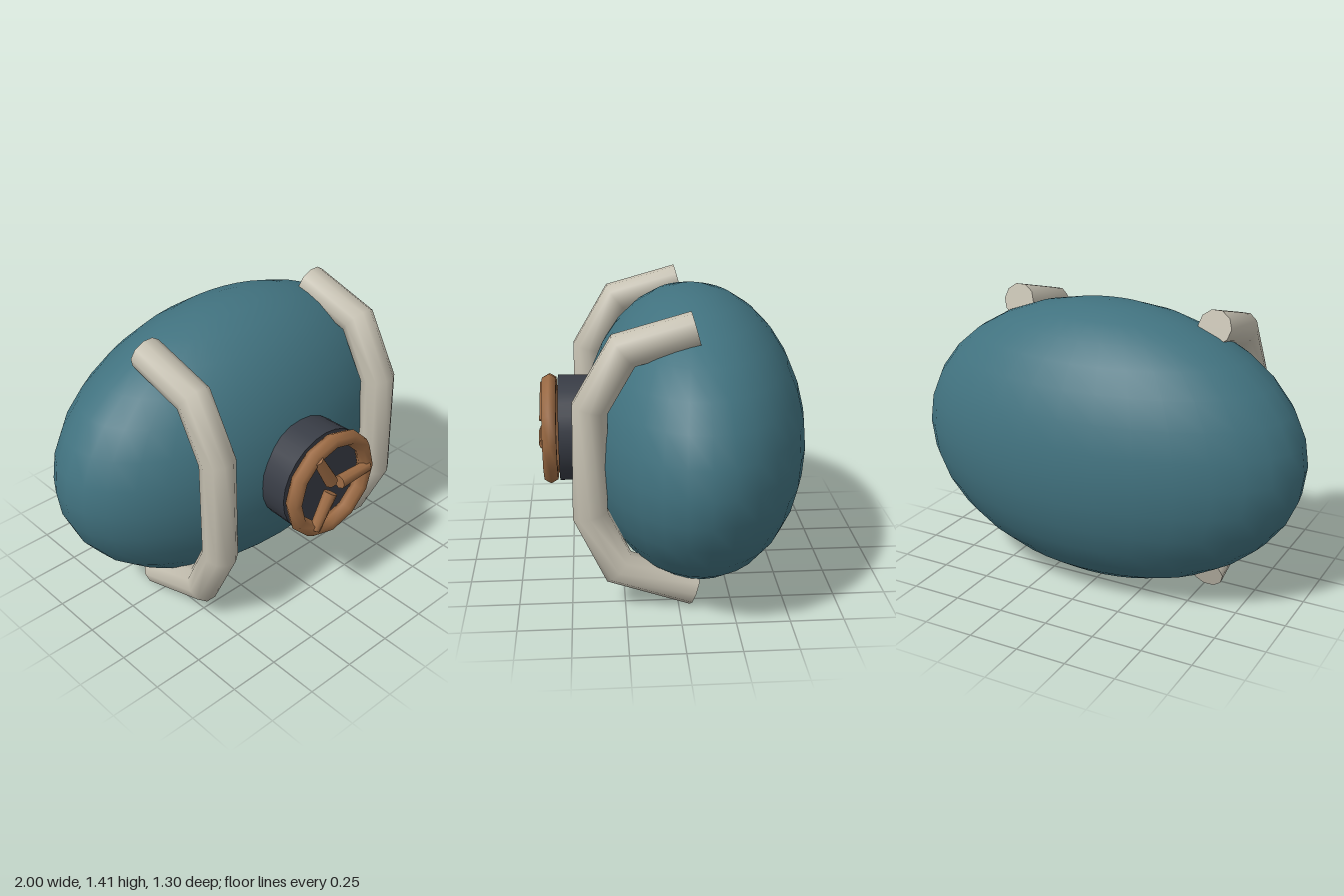
import * as THREE from 'three';

const mat = (name, color) => {
  const m = new THREE.MeshStandardMaterial({ color });
  m.name = name;
  return m;
};

// Mitred round bar through points [z, y], bending in the plane x = 0, with flat end caps
function bentBar(points, radius, sides) {
  const pts = points.map(([z, y]) => new THREE.Vector2(z, y));
  const dirs = pts.slice(1).map((p, i) => p.clone().sub(pts[i]).normalize());
  const pos = [], index = [];
  const addRing = (i) => {
    const a = dirs[Math.max(i - 1, 0)], b = dirs[Math.min(i, dirs.length - 1)];
    const t = a.clone().add(b).normalize();
    const stretch = radius / t.dot(a);
    for (let j = 0; j < sides; j++) {
      const ang = (j / sides) * Math.PI * 2;
      const s = Math.sin(ang) * stretch;
      pos.push(Math.cos(ang) * radius, pts[i].y + t.x * s, pts[i].x - t.y * s);
    }
  };
  pts.forEach((_, i) => addRing(i));
  for (let i = 0; i < pts.length - 1; i++) {
    for (let j = 0; j < sides; j++) {
      const k = (j + 1) % sides, a = i * sides + j, b = i * sides + k;
      index.push(a, a + sides, b, b, a + sides, b + sides);
    }
  }
  // End caps use their own rings so their edges stay sharp
  const last = pts.length - 1;
  addRing(0);
  addRing(last);
  const c0 = pts.length * sides, c1 = c0 + sides;
  for (let j = 1; j < sides - 1; j++) {
    index.push(c0, c0 + j, c0 + j + 1, c1, c1 + j + 1, c1 + j);
  }
  const g = new THREE.BufferGeometry();
  g.setAttribute('position', new THREE.Float32BufferAttribute(pos, 3));
  // Make the winding face outwards whichever way the path runs
  const v = (n) => new THREE.Vector3().fromArray(pos, n * 3);
  const n = v(index[1]).sub(v(index[0])).cross(v(index[2]).sub(v(index[0])));
  const mid = new THREE.Vector3(0, pts[0].y, pts[0].x);
  if (n.dot(v(index[0]).add(v(index[2])).multiplyScalar(0.5).sub(mid)) < 0) index.reverse();
  g.setIndex(index);
  g.computeVertexNormals();
  return g;
}

export function createModel() {
  const model = new THREE.Group();
  const teal = mat('teal paint', 0x41727f);
  const cream = mat('cream metal', 0xc4bfb0);
  const copper = mat('copper', 0x9c6b44);
  const dark = mat('dark metal', 0x383c45);
  const midY = 0.717;

  const add = (name, geometry, material, parent = model) => {
    const mesh = new THREE.Mesh(geometry, material);
    mesh.name = name;
    parent.add(mesh);
    return mesh;
  };

  // Egg-shaped tank
  const tank = add('tank', new THREE.SphereGeometry(1, 32, 16), teal);
  tank.scale.set(1, 0.695, 0.54);
  tank.position.set(0, midY, -0.11);

  // Two bent bars wrapping the front
  const bar = bentBar([[-0.078, 1.34], [0.246, 1.25], [0.398, 0.988],
    [0.407, 0.479], [0.278, 0.205], [-0.077, 0.084]], 0.083, 10);
  for (const [name, x] of [['leftBar', 0.524], ['rightBar', -0.524]]) {
    add(name, bar, cream).position.x = x;
  }

  // Round hatch collar
  const collar = add('hatchCollar', new THREE.CylinderGeometry(0.262, 0.256, 0.25, 24), dark);
  collar.rotation.x = Math.PI / 2;
  collar.position.set(0, midY, 0.425);

  // Handwheel: rim and three tapered spokes
  const wheel = new THREE.Group();
  wheel.name = 'handwheel';
  wheel.position.set(0, midY, 0.594);
  model.add(wheel);
  add('rim', new THREE.TorusGeometry(0.239, 0.039, 6, 12), copper, wheel);
  const spoke = new THREE.CylinderGeometry(0.027, 0.034, 0.195, 8);
  spoke.rotateZ(-Math.PI / 2).translate(0.135, 0, 0.022);
  for (let i = 0; i < 3; i++) {
    add('spoke', spoke, copper, wheel).rotation.z = (i * Math.PI * 2) / 3;
  }
  return model;
}
